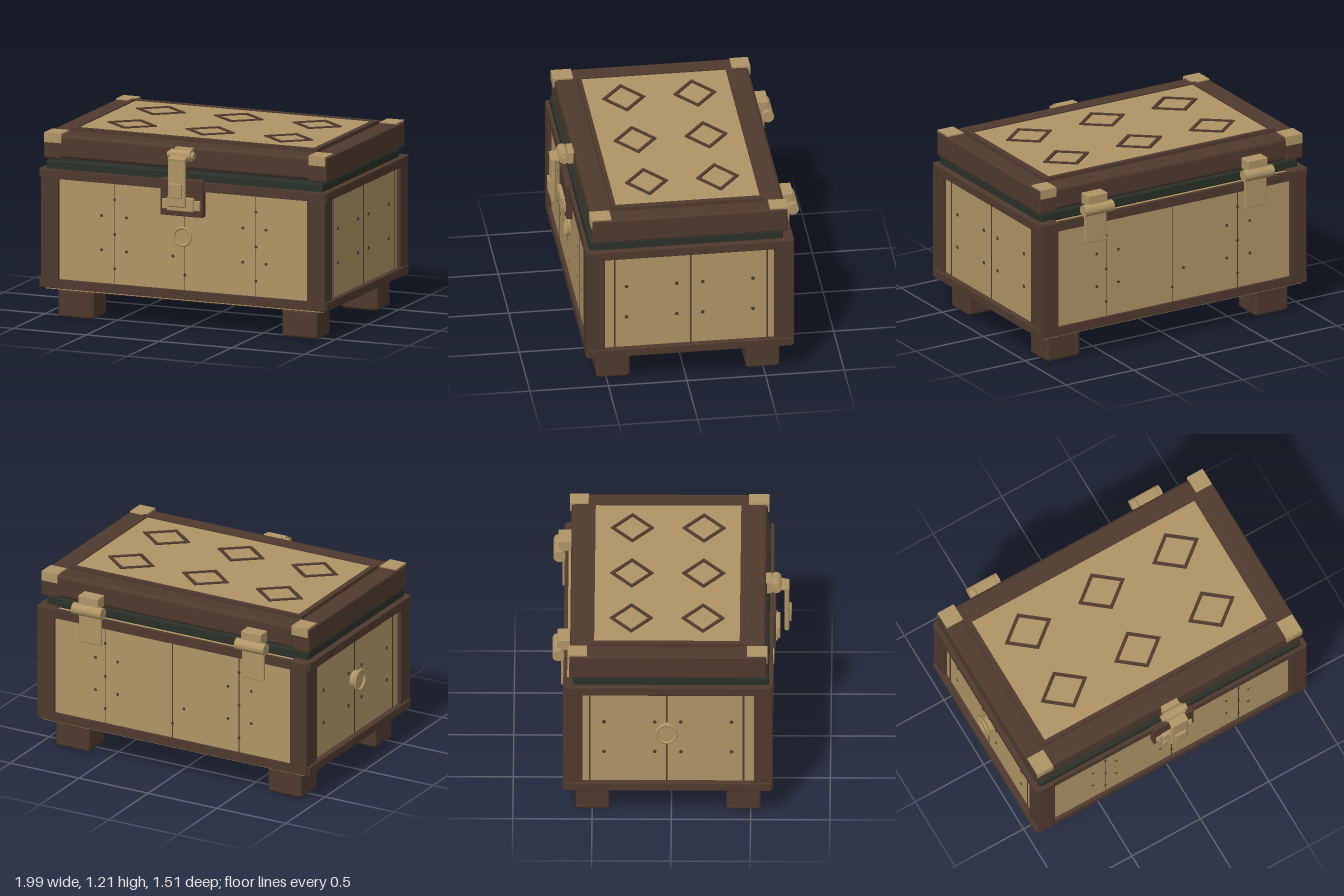
import * as THREE from 'three';
import { RoundedBoxGeometry } from 'three/addons/geometries/RoundedBoxGeometry.js';

const material = (name, color) => {
  const m = new THREE.MeshStandardMaterial({ color });
  m.name = name;
  return m;
};

export function createModel() {
  const root = new THREE.Group();
  root.name = 'storageChest';
  const wood = material('dark brown wood', 0x4f3a2e);
  const tan = material('tan brass', 0xb09566);
  const green = material('dark green lining', 0x2a3027);

  const add = (name, geometry, mat, x = 0, y = 0, z = 0, parent = root) => {
    const mesh = new THREE.Mesh(geometry, mat);
    mesh.name = name;
    mesh.position.set(x, y, z);
    parent.add(mesh);
    return mesh;
  };
  // Box given by its limits on each axis, optionally with rounded edges
  const box = (name, mat, [x0, x1], [y0, y1], [z0, z1], r = 0, parent = root) => {
    const size = [x1 - x0, y1 - y0, z1 - z0];
    const geometry = r ? new RoundedBoxGeometry(...size, 3, r) : new THREE.BoxGeometry(...size);
    return add(name, geometry, mat, (x0 + x1) / 2, (y0 + y1) / 2, (z0 + z1) / 2, parent);
  };
  const barrel = (name, mat, x, y, z, radius, length, parent = root) =>
    add(name, new THREE.CylinderGeometry(radius, radius, length, 24).rotateZ(Math.PI / 2), mat, x, y, z, parent);

  // Body panels, floor and lining
  box('bodyPanels', tan, [-0.945, 0.96], [0.19, 0.955], [-0.665, 0.615]);
  box('floor', wood, [-0.89, 0.9], [0.165, 0.2], [-0.58, 0.535], 0.01);
  box('lining', green, [-0.945, 0.955], [0.95, 1.02], [-0.62, 0.615], 0.015);
  box('innerLining', green, [-0.9, 0.91], [1.0, 1.06], [-0.58, 0.56]);

  // Corner posts
  for (const x of [[-0.97, -0.85], [0.86, 0.985]])
    for (const z of [[-0.685, -0.56], [0.52, 0.64]])
      box('cornerPost', wood, x, [0.2, 0.965], z, 0.006);

  // Rails along the top and bottom of every side
  for (const y of [[0.2, 0.257], [0.905, 0.965]]) {
    box('frontRail', wood, [-0.86, 0.87], y, [0.608, 0.637]);
    box('backRail', wood, [-0.86, 0.87], y, [-0.682, -0.658]);
    box('leftRail', wood, [0.953, 0.994], y, [-0.67, 0.628], 0.006);
    box('rightRail', wood, [-0.984, -0.938], y, [-0.67, 0.628], 0.006);
  }

  // Plank seams and small pegs
  const sides = [{ x: 0.961, name: 'left' }, { x: -0.946, name: 'right' }];
  for (const side of sides) {
    for (const z of [0.455, -0.03, -0.515])
      box(side.name + 'Seam', wood, [side.x - 0.001, side.x + 0.001], [0.257, 0.905], [z - 0.005, z + 0.005]);
    for (const z of [0.38, 0.06, -0.105, -0.425])
      for (const y of [0.47, 0.69])
        add(side.name + 'Peg', new THREE.CylinderGeometry(0.012, 0.012, 0.004, 10).rotateZ(Math.PI / 2), wood, side.x, y, z);
  }
  for (const [z, name] of [[0.615, 'front'], [-0.665, 'back']]) {
    const peg = (x, y) => add(name + 'Peg', new THREE.CylinderGeometry(0.01, 0.01, 0.004, 10).rotateX(Math.PI / 2), wood, x, y, z);
    for (const x of [-0.47, 0.012, 0.5]) {
      box(name + 'Seam', wood, [x - 0.002, x + 0.002], [0.257, 0.905], [z - 0.001, z + 0.001]);
      for (const y of [0.355, 0.575, 0.8]) if (Math.abs(x) > 0.1 || y < 0.5) peg(x, y);
    }
    for (const x of [-0.56, -0.39, -0.07, 0.41, 0.57])
      for (const y of [0.47, 0.69]) if (x !== -0.07 || y < 0.6) peg(x, y);
  }

  // Feet
  for (const x of [[-0.885, -0.64], [0.653, 0.898]])
    for (const z of [[-0.605, -0.39], [0.348, 0.563]])
      box('foot', wood, x, [0, 0.185], z, 0.02);

  // Lid: beams around a raised panel
  const lid = new THREE.Group();
  lid.name = 'lid';
  root.add(lid);
  box('lidCore', wood, [-0.96, 0.965], [1.03, 1.182], [-0.64, 0.597], 0.025, lid);
  box('lidRightEnd', wood, [-0.967, -0.843], [1.025, 1.184], [-0.645, 0.6], 0.012, lid);
  box('lidLeftEnd', wood, [0.855, 0.979], [1.025, 1.184], [-0.645, 0.6], 0.012, lid);
  box('lidPanel', tan, [-0.81, 0.83], [1.17, 1.199], [-0.495, 0.435], 0, lid);
  for (const z of [[-0.515, -0.488], [0.43, 0.457]])
    box('lidTrim', wood, [-0.84, 0.855], [1.16, 1.206], z, 0, lid);
  for (const x of [[-0.84, -0.805], [0.818, 0.855]])
    box('lidTrim', wood, x, [1.16, 1.206], [-0.515, 0.457], 0, lid);
  for (const x of [[-0.96, -0.843], [0.857, 0.971]])
    for (const z of [[-0.651, -0.533], [0.477, 0.606]])
      box('lidCornerPlate', tan, x, [1.13, 1.192], z, 0, lid);

  // Diamond outlines on the lid
  const diamond = (w, h, Type) => {
    const path = new Type();
    path.moveTo(w, 0).lineTo(0, h).lineTo(-w, 0).lineTo(0, -h).closePath();
    return path;
  };
  const outline = diamond(0.17, 0.137, THREE.Shape);
  outline.holes.push(diamond(0.138, 0.11, THREE.Path));
  const diamondGeometry = new THREE.ExtrudeGeometry(outline, { depth: 0.009, bevelEnabled: false }).rotateX(-Math.PI / 2);
  for (const x of [-0.53, 0.006, 0.545])
    for (const z of [-0.255, 0.197]) add('lidDiamond', diamondGeometry, wood, x, 1.198, z, lid);

  // Front latch
  const latch = new THREE.Group();
  latch.name = 'latch';
  root.add(latch);
  box('latchBackPlate', wood, [-0.14, 0.152], [0.74, 0.978], [0.61, 0.655], 0.005, latch);
  box('latchCatch', tan, [-0.085, 0.095], [0.775, 0.865], [0.65, 0.682], 0.008, latch);
  box('catchEars', tan, [-0.125, 0.135], [0.783, 0.848], [0.65, 0.667], 0.005, latch);
  for (const x of [-0.107, 0.118])
    add('catchScrew', new THREE.CylinderGeometry(0.014, 0.014, 0.01, 14).rotateX(Math.PI / 2), tan, x, 0.816, 0.67, latch);
  box('latchMount', tan, [-0.055, 0.065], [1.09, 1.175], [0.59, 0.63], 0.006, latch);
  barrel('latchBarrel', tan, 0.005, 1.135, 0.655, 0.035, 0.14, latch);
  barrel('latchPin', tan, 0.005, 1.135, 0.655, 0.022, 0.18, latch);
  const link = box('latchLink', tan, [-0.055, 0.065], [1.11, 1.135], [0.66, 0.74], 0.008, latch);
  link.rotation.x = 0.17;
  box('latchStrap', tan, [-0.055, 0.065], [0.812, 1.128], [0.707, 0.738], 0.012, latch);
  box('latchButton', tan, [-0.036, 0.046], [0.872, 0.967], [0.73, 0.753], 0.006, latch);

  // Ring handles on the front and the right side
  add('frontRing', new THREE.TorusGeometry(0.057, 0.009, 10, 36), tan, 0.005, 0.605, 0.637);
  add('frontRingPlate', new THREE.CylinderGeometry(0.057, 0.057, 0.025, 36).rotateX(Math.PI / 2), tan, 0.005, 0.605, 0.62);
  add('sideRing', new THREE.TorusGeometry(0.064, 0.01, 10, 36).rotateY(Math.PI / 2), tan, -0.985, 0.625, -0.03);
  add('sideRingPlate', new THREE.CylinderGeometry(0.06, 0.06, 0.03, 36).rotateZ(Math.PI / 2), tan, -0.955, 0.625, -0.03);

  // Back hinges
  for (const x of [-0.588, 0.594]) {
    const hinge = new THREE.Group();
    hinge.name = 'hinge';
    hinge.position.x = x;
    root.add(hinge);
    barrel('hingeBarrel', tan, 0, 1.02, -0.715, 0.038, 0.213, hinge);
    box('hingeBlock', tan, [-0.072, 0.072], [1.04, 1.115], [-0.722, -0.63], 0.006, hinge);
    box('hingeLeaf', tan, [-0.08, 0.08], [0.788, 1.02], [-0.697, -0.68], 0.006, hinge);
  }
  return root;
}
